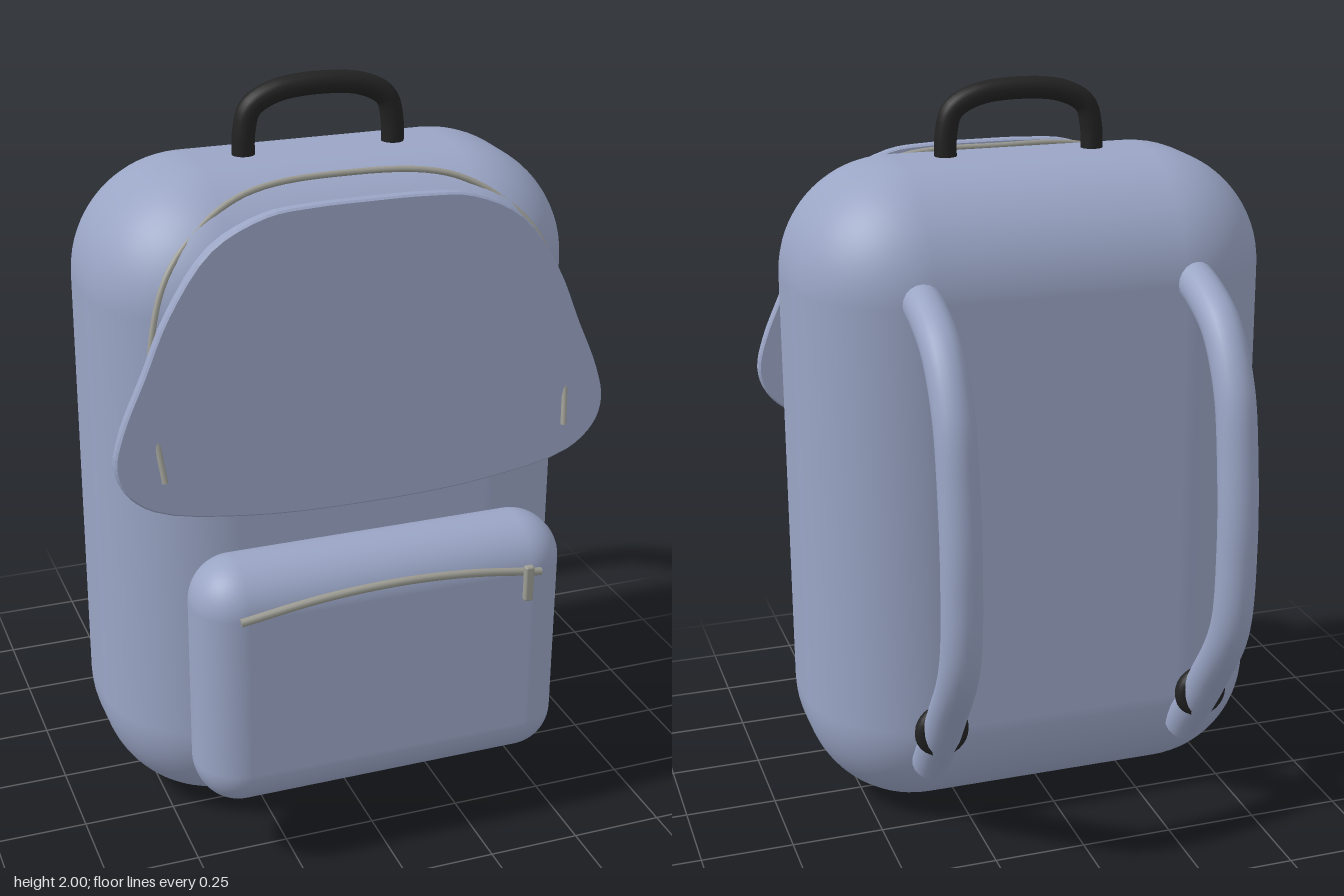
import * as THREE from 'three';
import { RoundedBoxGeometry } from 'three/addons/geometries/RoundedBoxGeometry.js';

const mat = (name, color) => new THREE.MeshStandardMaterial({ name, color });

export function createModel() {
  const model = new THREE.Group();
  model.name = 'backpack';
  const fabric = mat('blue fabric', 0x9aa5c5);
  const black = mat('black webbing', 0x222222);
  const metal = mat('zipper metal', 0x9c9c94);

  const add = (name, geometry, material, x = 0, y = 0, z = 0) => {
    const mesh = new THREE.Mesh(geometry, material);
    mesh.name = name;
    mesh.position.set(x, y, z);
    model.add(mesh);
    return mesh;
  };

  // Round tube through points, with flat caps on both ends
  const addTube = (name, points, radius, material, segments = 48, sides = 16) => {
    const curve = new THREE.CatmullRomCurve3(points.map(p => new THREE.Vector3(...p)));
    const tube = add(name, new THREE.TubeGeometry(curve, segments, radius, sides), material);
    for (const t of [0, 1]) {
      const cap = new THREE.Mesh(new THREE.CircleGeometry(radius, sides), material);
      const dir = curve.getTangentAt(t).multiplyScalar(t ? 1 : -1);
      cap.name = name + 'End';
      cap.position.copy(curve.getPointAt(t));
      cap.quaternion.setFromUnitVectors(new THREE.Vector3(0, 0, 1), dir);
      tube.add(cap);
    }
  };

  // Mirrors a half path (ending on x = 0) to the other side
  const mirrored = half => [...half, ...half.slice(0, -1).reverse().map(([x, y, z]) => [-x, y, z])];

  // Main bag and front pocket
  add('body', new RoundedBoxGeometry(1.3, 1.8, 0.72, 10, 0.31), fabric, 0, 0.9, 0.05);
  add('frontPocket', new RoundedBoxGeometry(1.01, 0.695, 0.25, 8, 0.12), fabric, 0, 0.543, 0.505);

  // Front flap: smooth flat panel, wider towards the bottom
  const outline = [
    [0, 1.77], [0.15, 1.768], [0.27, 1.755], [0.41, 1.685], [0.52, 1.53], [0.585, 1.38],
    [0.645, 1.24], [0.665, 1.15], [0.645, 1.08], [0.57, 1.015], [0.33, 0.965], [0, 0.95],
  ];
  const loop = [...outline, ...outline.slice(1, -1).reverse().map(([x, y]) => [-x, y])];
  const curve = new THREE.CatmullRomCurve3(loop.map(([x, y]) => new THREE.Vector3(x, y, 0)), true);
  const shape = new THREE.Shape(curve.getPoints(88).slice(0, -1).map(p => new THREE.Vector2(p.x, p.y)));
  add('flap', new THREE.ExtrudeGeometry(shape, {
    depth: 0.024, bevelEnabled: true, bevelThickness: 0.005, bevelSize: 0.005, bevelOffset: -0.005, bevelSegments: 1,
  }), fabric, 0, 0, 0.408);

  // Zippers and the pocket pull tab
  addTube('mainZipper', mirrored([
    [-0.545, 1.1, 0.455], [-0.555, 1.2, 0.43], [-0.56, 1.37, 0.393],
    [-0.49, 1.61, 0.345], [-0.3, 1.755, 0.28], [0, 1.783, 0.245],
  ]), 0.008, metal, 80, 8);
  addTube('pocketZipper', mirrored([
    [-0.41, 0.775, 0.633], [-0.2, 0.81, 0.642], [0, 0.823, 0.647],
  ]), 0.011, metal, 40, 8);
  add('zipperPull', new RoundedBoxGeometry(0.025, 0.1, 0.02, 2, 0.006), metal, 0.365, 0.76, 0.656);

  // Top carry handle
  addTube('handle', mirrored([
    [-0.205, 1.77, 0.055], [-0.203, 1.86, 0.055], [-0.185, 1.92, 0.055],
    [-0.12, 1.957, 0.055], [0, 1.97, 0.055],
  ]), 0.03, black);

  // Shoulder straps with a buckle ring near the lower end
  for (const [side, s] of [['left', 1], ['right', -1]]) {
    const x = 0.37 * s;
    addTube(side + 'Strap', [
      [x, 1.51, -0.25], [x, 1.48, -0.36], [x, 1.415, -0.475], [x, 1.28, -0.56], [x, 1.1, -0.597],
      [x, 0.87, -0.613], [x, 0.63, -0.588], [x, 0.42, -0.455], [x, 0.215, -0.3],
    ], 0.053, fabric, 64, 20);
    add(side + 'Buckle', new THREE.TorusGeometry(0.053, 0.021, 10, 28), black, x, 0.365, -0.41);
  }
  return model;
}
